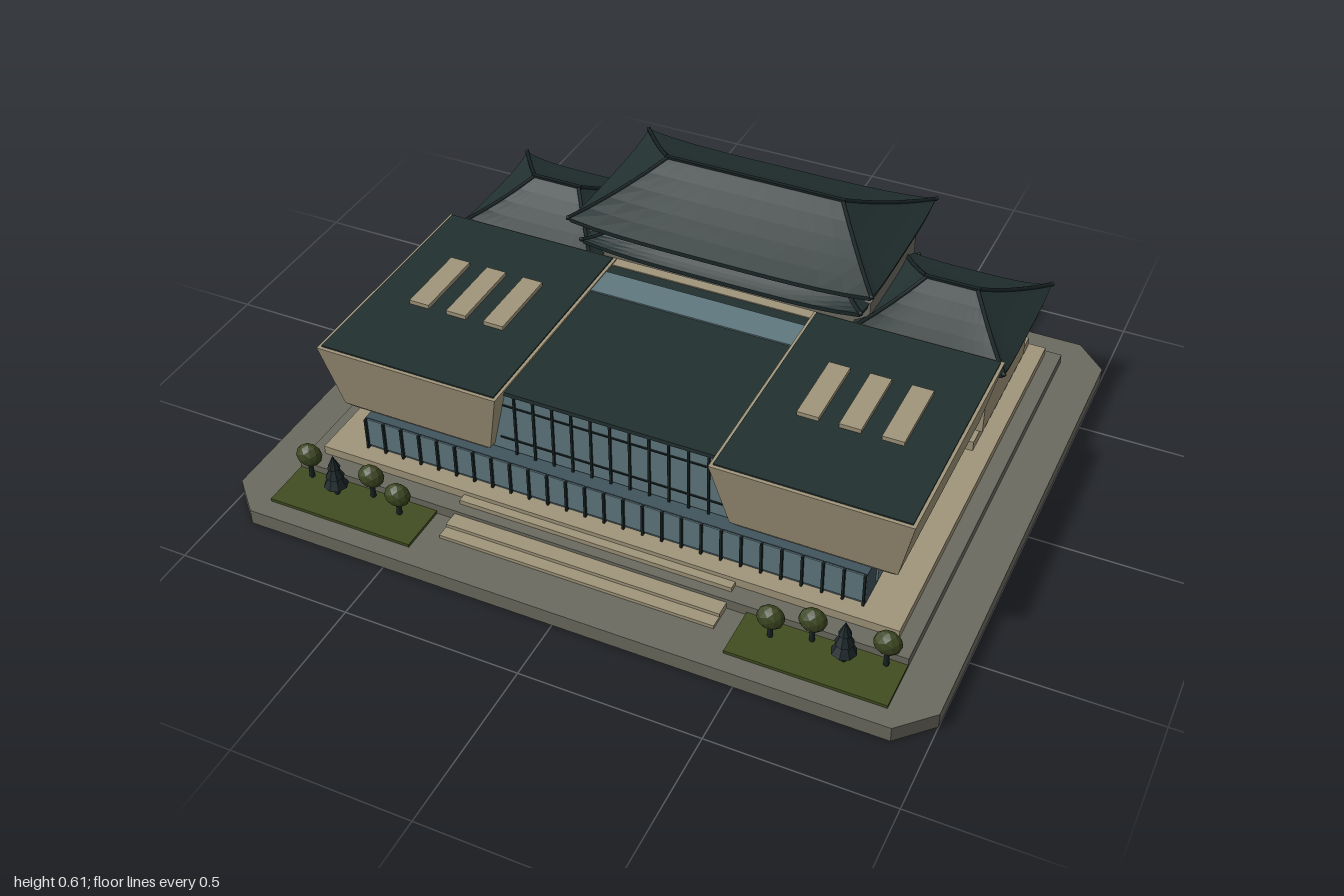
import * as THREE from 'three';

const mat = (name, color) => {
  const m = new THREE.MeshStandardMaterial({ color });
  m.name = name;
  return m;
};

// Faceted normals on any geometry
function facet(geo) {
  const g = geo.index ? geo.toNonIndexed() : geo;
  g.computeVertexNormals();
  return g;
}

// Skin through closed rings of [x, y, z], counter-clockwise from above, capped at both ends
function loft(rings) {
  const pos = [], n = rings[0].length;
  const cap = (ring, up) => {
    const c = [0, 1, 2].map(k => ring.reduce((s, p) => s + p[k], 0) / n);
    for (let i = 0; i < n; i++) {
      const a = ring[i], b = ring[(i + 1) % n];
      pos.push(...c, ...(up ? a : b), ...(up ? b : a));
    }
  };
  cap(rings[0], false);
  for (let r = 0; r < rings.length - 1; r++) {
    for (let i = 0; i < n; i++) {
      const j = (i + 1) % n, lo = rings[r], hi = rings[r + 1];
      pos.push(...lo[i], ...lo[j], ...hi[j], ...lo[i], ...hi[j], ...hi[i]);
    }
  }
  cap(rings[rings.length - 1], true);
  const g = new THREE.BufferGeometry();
  g.setAttribute('position', new THREE.Float32BufferAttribute(pos, 3));
  g.computeVertexNormals();
  return g;
}

const rect = (y, x0, x1, z0, z1) => [[x0, y, z1], [x1, y, z1], [x1, y, z0], [x0, y, z0]];

export function createModel() {
  const root = new THREE.Group();
  root.name = 'museumComplex';
  const paving = mat('paving grey', 0x6b6a5f);
  const stone = mat('sandstone', 0xa0957a);
  const plaster = mat('grey wall', 0x6e6c63);
  const tile = mat('dark roof tile', 0x223030);
  const ridgeMat = mat('ridge black', 0x182223);
  const glass = mat('deep glass', 0x40535c);
  const pane = mat('light glass', 0x607880);
  const grass = mat('grass', 0x414d20);
  const leaf = mat('foliage', 0x3b4520);
  const pine = mat('pine needles', 0x1b2629);

  const add = (name, geo, material, parent = root) => {
    const m = new THREE.Mesh(geo, material);
    m.name = name;
    parent.add(m);
    return m;
  };
  const box = (name, material, x0, x1, y0, y1, z0, z1, parent) => {
    const m = add(name, new THREE.BoxGeometry(x1 - x0, y1 - y0, z1 - z0), material, parent);
    m.position.set((x0 + x1) / 2, (y0 + y1) / 2, (z0 + z1) / 2);
    return m;
  };

  // Ground slab with cut corners
  const slab = y => [[-0.91, y, 0.82], [0.91, y, 0.82], [1, y, 0.73], [1, y, -0.73],
    [0.91, y, -0.82], [-0.91, y, -0.82], [-1, y, -0.73], [-1, y, 0.73]];
  add('groundSlab', loft([slab(0), slab(0.045)]), paving);

  // Terraces and front steps
  box('lowerTerrace', paving, -0.88, 0.88, 0.045, 0.075, -0.71, 0.62);
  box('upperTerrace', stone, -0.835, 0.835, 0.075, 0.1, -0.69, 0.565);
  box('rearTerrace', stone, -0.785, 0.785, 0.1, 0.13, -0.68, -0.16);
  box('bottomStep', stone, -0.395, 0.395, 0.045, 0.055, 0.62, 0.7);
  box('middleStep', stone, -0.395, 0.395, 0.055, 0.065, 0.62, 0.665);
  box('topStep', stone, -0.395, 0.395, 0.075, 0.088, 0.565, 0.59);

  // Glazed ground floor
  box('groundFloor', glass, -0.725, 0.725, 0.1, 0.2, -0.15, 0.51);
  box('groundFrontPanes', pane, -0.725, 0.725, 0.108, 0.197, 0.51, 0.514);
  for (let i = -13; i <= 13; i++) {
    const x = i * 0.0555;
    box('groundMullion', ridgeMat, x - 0.003, x + 0.003, 0.1, 0.2, 0.51, 0.522);
  }
  for (const s of [-1, 1]) {
    box('sideWindow', pane, s * 0.727 - 0.003, s * 0.727 + 0.003, 0.115, 0.19, 0.06, 0.44);
  }

  // Central atrium between the wings
  box('atrium', glass, -0.36, 0.36, 0.2, 0.393, -0.15, 0.466);
  box('atriumFrontPanes', pane, -0.355, 0.355, 0.204, 0.393, 0.466, 0.47);
  for (let i = -5; i <= 5; i++) {
    const x = i * 0.0555;
    box('atriumMullion', ridgeMat, x - 0.003, x + 0.003, 0.2, 0.395, 0.466, 0.476);
  }
  for (const y of [0.245, 0.355]) {
    box('atriumTransom', ridgeMat, -0.325, 0.325, y - 0.002, y + 0.002, 0.466, 0.474);
  }
  box('atriumRoof', tile, -0.32, 0.32, 0.393, 0.405, -0.15, 0.477);
  box('atriumSkylight', pane, -0.302, 0.302, 0.405, 0.409, -0.112, -0.015);
  box('rearParapet', stone, -0.39, 0.39, 0.2, 0.408, -0.183, -0.15);

  // Flared wings with flat roofs and roof lights
  for (const s of [-1, 1]) {
    const wing = new THREE.Group();
    wing.name = s > 0 ? 'leftWing' : 'rightWing';
    root.add(wing);
    const ring = (y, a, b, z0, z1) => rect(y, Math.min(s * a, s * b), Math.max(s * a, s * b), z0, z1);
    add('wingWalls', loft([
      ring(0.195, 0.37, 0.775, -0.135, 0.478),
      ring(0.215, 0.345, 0.797, -0.148, 0.495),
      ring(0.414, 0.3, 0.84, -0.175, 0.53),
    ]), stone, wing);
    add('wingRoof', loft([ring(0.412, 0.309, 0.831, -0.168, 0.52), ring(0.418, 0.309, 0.831, -0.168, 0.52)]), tile, wing);
    for (const x of [0.455, 0.57, 0.685]) {
      box('roofLight', stone, s * x - 0.03, s * x + 0.03, 0.416, 0.43, 0.035, 0.26, wing);
    }
  }

  // Hipped roof: half sizes at eave (w, d) and top (tw, td), lifted corners, hip ribs
  function hipRoof(name, o) {
    const g = new THREE.Group();
    g.name = name;
    g.position.set(o.x, 0, o.z);
    root.add(g);
    const N = 12, corners = [[-1, 1], [1, 1], [1, -1], [-1, -1]];
    const ringAt = (t, dy = 0, grow = 0) => {
      const hx = THREE.MathUtils.lerp(o.w, o.tw, t) + grow, hz = THREE.MathUtils.lerp(o.d, o.td, t) + grow;
      const y = o.y + (o.top - o.y) * (0.82 * t + 0.18 * t * t) + dy;
      const ring = [];
      for (let c = 0; c < 4; c++) {
        const a = corners[c], b = corners[(c + 1) % 4];
        for (let i = 0; i < N; i++) {
          const u = i / N, k = Math.abs(2 * u - 1) ** 4;
          ring.push([hx * (a[0] + (b[0] - a[0]) * u), y + o.lift * k * (1 - t) ** 2, hz * (a[1] + (b[1] - a[1]) * u)]);
        }
      }
      return ring;
    };
    const steps = [0, 0.2, 0.4, 0.6, 0.8, 1].map(t => ringAt(t));
    add('roofTiles', loft([ringAt(0, -0.016, -0.004), ...steps]), tile, g);
    for (let c = 0; c < 4; c++) {
      const pts = steps.map(r => new THREE.Vector3(...r[c * N]));
      add('hipRib', new THREE.TubeGeometry(new THREE.CatmullRomCurve3(pts), 10, 0.006, 6), ridgeMat, g);
      const tip = add('ribEnd', new THREE.SphereGeometry(0.007, 6, 5), ridgeMat, g);
      tip.position.copy(pts[0]);
    }
    if (o.ridge) box('ridgeBeam', ridgeMat, -o.tw - 0.006, o.tw + 0.006, o.top - 0.006, o.top + 0.006, -0.006, 0.006, g);
  }

  // Main hall with two skirt roofs and a large top roof
  const hz = -0.45;
  box('hallWalls', plaster, -0.43, 0.43, 0.13, 0.42, -0.635, -0.265);
  box('hallUpperWalls', plaster, -0.365, 0.365, 0.42, 0.485, -0.64, -0.26);
  hipRoof('lowerSkirtRoof', { x: 0, z: hz, w: 0.43, d: 0.232, tw: 0.38, td: 0.18, y: 0.306, top: 0.335, lift: 0.014 });
  hipRoof('upperSkirtRoof', { x: 0, z: hz, w: 0.425, d: 0.25, tw: 0.36, td: 0.185, y: 0.41, top: 0.442, lift: 0.018 });
  hipRoof('mainRoof', { x: 0, z: hz, w: 0.457, d: 0.265, tw: 0.27, td: 0.004, y: 0.484, top: 0.6, lift: 0.018, ridge: true });

  // Side pavilions
  for (const s of [-1, 1]) {
    const x = s * 0.613;
    box('pavilionWalls', stone, x - 0.18, x + 0.18, 0.13, 0.35, -0.597, -0.212);
    hipRoof('pavilionRoof', { x, z: -0.408, w: 0.226, d: 0.226, tw: 0.075, td: 0.004, y: 0.348, top: 0.45, lift: 0.02, ridge: true });
  }

  // Lawns and trees
  for (const s of [-1, 1]) {
    box('lawn', grass, s * 0.665 - 0.215, s * 0.665 + 0.215, 0.045, 0.054, 0.62, 0.765);
    for (const [x, z, top] of [[0.83, 0.64, 0.163], [0.635, 0.64, 0.158], [0.535, 0.67, 0.153]]) {
      const tree = new THREE.Group();
      tree.name = 'roundTree';
      tree.position.set(s * x, 0.05, z);
      root.add(tree);
      add('trunk', new THREE.CylinderGeometry(0.006, 0.008, 0.06, 6), ridgeMat, tree).position.y = 0.03;
      const crown = add('crown', facet(new THREE.IcosahedronGeometry(0.036, 1)), leaf, tree);
      crown.position.y = top - 0.084;
      crown.scale.set(1.05, 0.95, 0.78);
    }
    const fir = new THREE.Group();
    fir.name = 'pineTree';
    fir.position.set(s * 0.73, 0.05, 0.67);
    root.add(fir);
    add('trunk', new THREE.CylinderGeometry(0.006, 0.008, 0.05, 6), ridgeMat, fir).position.y = 0.025;
    [[0.034, 0.06, 0.065], [0.026, 0.05, 0.09], [0.018, 0.04, 0.115]].forEach(([r, h, y]) => {
      add('pineTier', facet(new THREE.ConeGeometry(r, h, 8)), pine, fir).position.y = y;
    });
  }
  return root;
}
